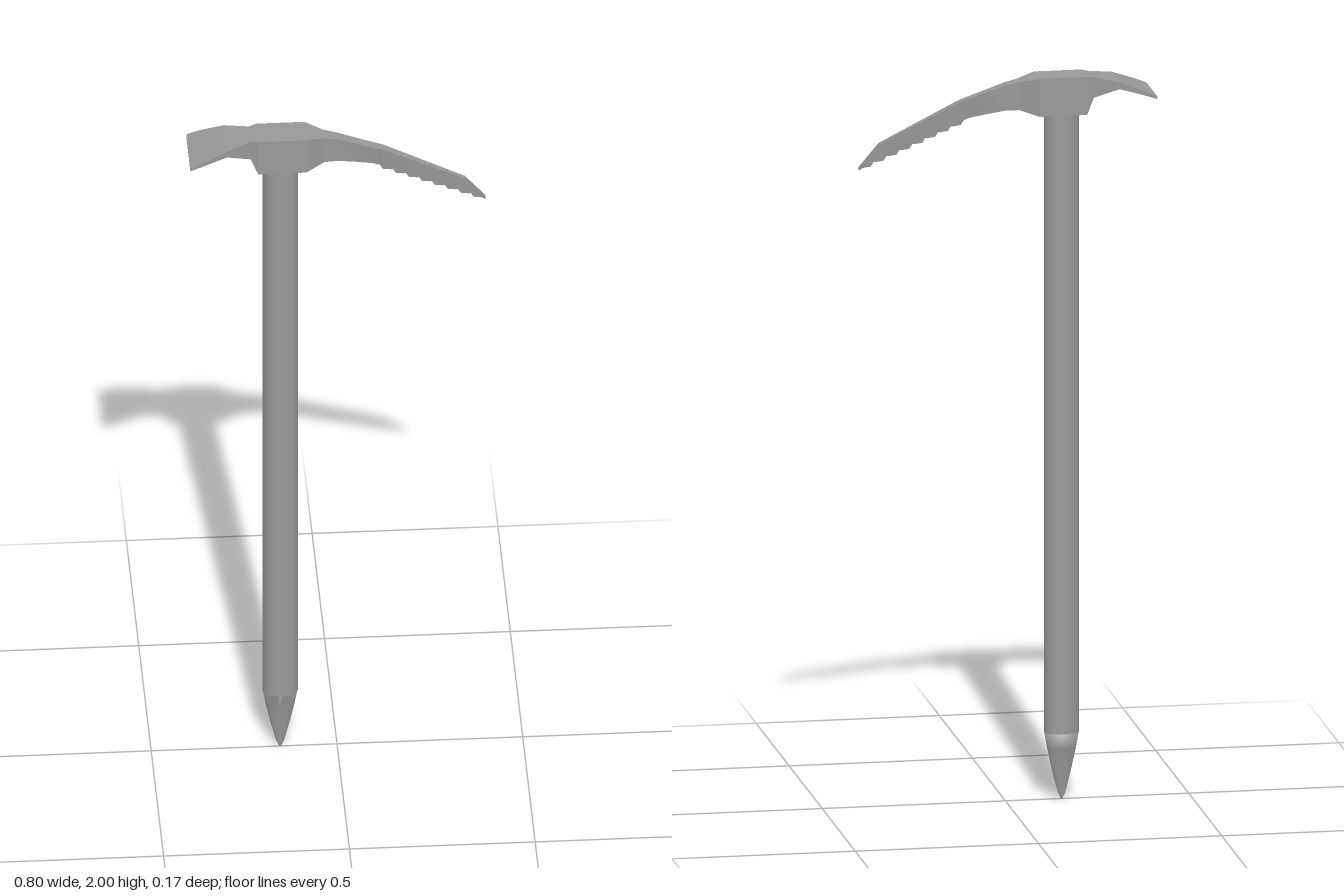
import * as THREE from 'three';

// Skin closed rings (each counter-clockwise seen from the end of the loft), with caps.
function loft(rings, flat) {
  const n = rings[0].length, index = [], last = (rings.length - 1) * n;
  for (let r = 0; r < rings.length - 1; r++) {
    for (let i = 0; i < n; i++) {
      const j = (i + 1) % n, a = r * n, b = a + n;
      index.push(a + i, a + j, b + j, a + i, b + j, b + i);
    }
  }
  for (let i = 1; i < n - 1; i++) {
    index.push(0, i + 1, i, last, last + i, last + i + 1);
  }
  let geo = new THREE.BufferGeometry();
  geo.setAttribute('position', new THREE.Float32BufferAttribute(rings.flat(2), 3));
  geo.setIndex(index);
  if (flat) geo = geo.toNonIndexed();
  geo.computeVertexNormals();
  return geo;
}

// Linear lookup in a list of [x, value]
function at(list, x) {
  for (let i = 1; i < list.length; i++) {
    const [x0, v0] = list[i - 1], [x1, v1] = list[i];
    if (x <= x1) return v0 + (v1 - v0) * (x - x0) / (x1 - x0);
  }
  return list[list.length - 1][1];
}

export function createModel() {
  const group = new THREE.Group();
  const steel = new THREE.MeshStandardMaterial({ color: 0x999999 });
  steel.name = 'steel grey';
  const add = (name, geo) => {
    const mesh = new THREE.Mesh(geo, steel);
    mesh.name = name;
    group.add(mesh);
    return mesh;
  };
  const axisX = -0.153;

  // Oval shaft
  const shaft = add('shaft', new THREE.CylinderGeometry(0.048, 0.048, 1.73, 32));
  shaft.scale.z = 0.75;
  shaft.position.set(axisX, 0.185 + 1.73 / 2, 0);

  // Bottom spike, flattening towards its point: [y, half width, half depth]
  const spike = [[0, 0.002, 0.001], [0.02, 0.011, 0.004], [0.08, 0.026, 0.012],
    [0.14, 0.039, 0.021], [0.19, 0.048, 0.036]];
  add('spike', loft(spike.map(([y, w, d]) => Array.from({ length: 32 }, (_, i) => {
    const t = i / 32 * Math.PI * 2;
    return [axisX + w * Math.sin(t), y, d * Math.cos(t)];
  }))));

  // Head outline: upper edge, lower edge and half thickness along x
  const top = [[-0.4, 1.947], [-0.365, 1.962], [-0.3, 1.986], [-0.215, 2], [-0.085, 2],
    [0, 1.98], [0.125, 1.938], [0.345, 1.83], [0.4, 1.766]];
  const bottom = [[-0.4, 1.94], [-0.365, 1.951], [-0.3, 1.967], [-0.235, 1.94],
    [-0.215, 1.895], [-0.085, 1.895], [-0.035, 1.91], [0, 1.91], [0.1, 1.892]];
  const half = [[-0.4, 0.083], [-0.365, 0.079], [-0.3, 0.063], [-0.235, 0.037],
    [-0.215, 0.044], [-0.085, 0.044], [-0.035, 0.02], [0.05, 0.015], [0.4, 0.005]];

  // Saw teeth under the pick
  const teeth = 8, pitch = 0.28 / teeth;
  for (let i = 0; i < teeth; i++) {
    const x = 0.115 + i * pitch, y = 1.886 - i * pitch * 0.43;
    bottom.push([x, y], [x + 0.008, y - 0.013], [x + pitch - 0.005, y - 0.016]);
  }
  bottom.push([0.4, 1.758]);

  const xs = [...new Set([...top, ...bottom, ...half].map((p) => p[0]))].sort((a, b) => a - b);
  add('head', loft(xs.map((x) => {
    const t = at(top, x), b = at(bottom, x), h = at(half, x);
    // the pick thins towards its toothed edge
    const hb = h * (1 - 0.4 * THREE.MathUtils.smoothstep(x, -0.06, 0.1));
    return [[x, t, -h], [x, t, h], [x, b, hb], [x, b, -hb]];
  }), true));

  return group;
}
